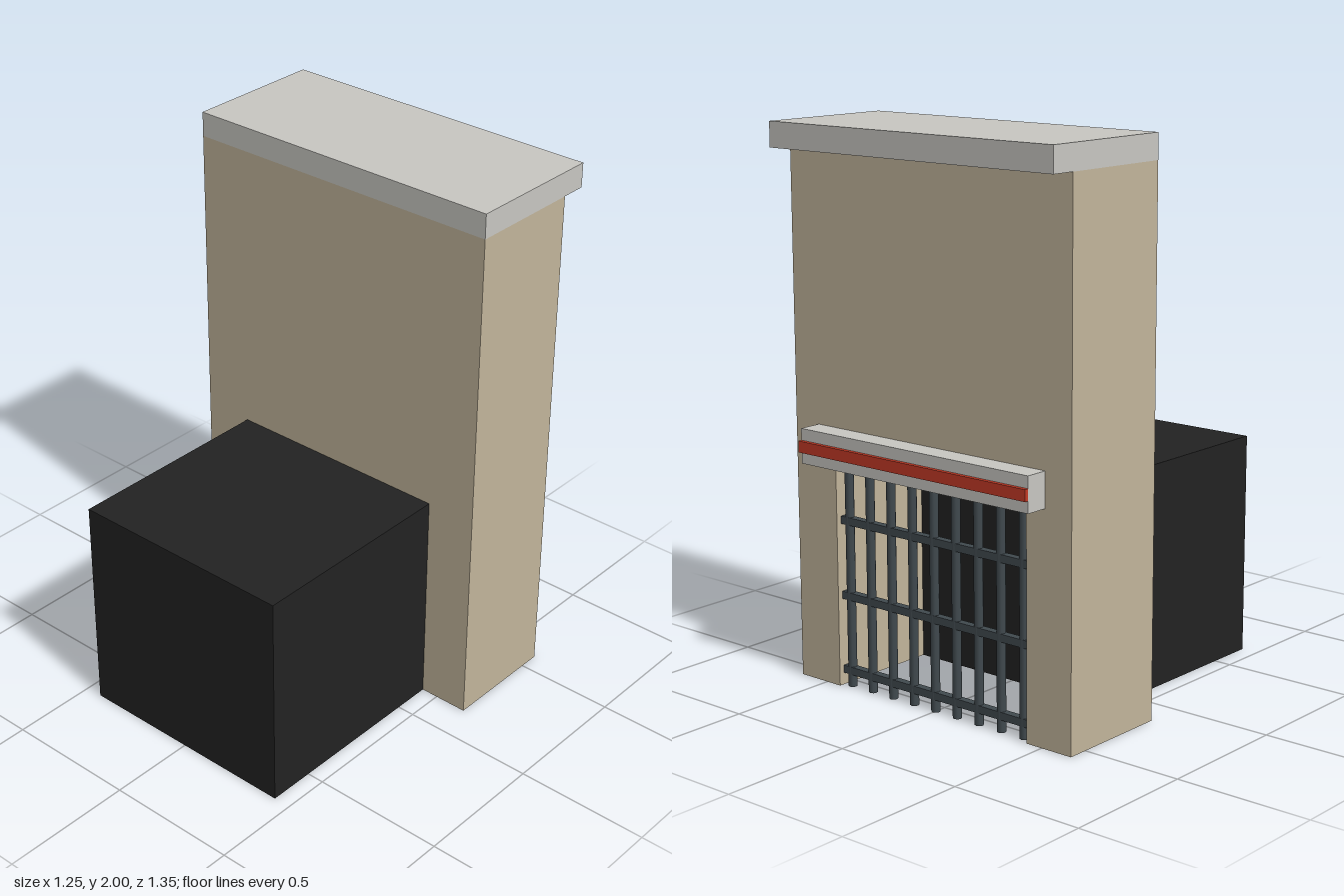
import * as THREE from 'three';

const material = (name, color) => {
  const m = new THREE.MeshStandardMaterial({ color });
  m.name = name;
  return m;
};

export function createModel() {
  const sandstone = material('sandstone', 0xc2b59b);
  const concrete = material('concrete', 0xc8c7c2);
  const black = material('tunnel black', 0x222222);
  const steel = material('dark steel', 0x414a4f);
  const red = material('warning red', 0xc43a26);

  const model = new THREE.Group();
  model.name = 'gatehouse';

  const add = (name, geometry, mat, parent = model) => {
    const mesh = new THREE.Mesh(geometry, mat);
    mesh.name = name;
    parent.add(mesh);
    return mesh;
  };
  // Box given by its minimum and maximum corners
  const box = (name, [x0, y0, z0], [x1, y1, z1], mat, parent) => {
    const g = new THREE.BoxGeometry(x1 - x0, y1 - y0, z1 - z0);
    g.translate((x0 + x1) / 2, (y0 + y1) / 2, (z0 + z1) / 2);
    return add(name, g, mat, parent);
  };

  const back = -0.575, front = -0.14;
  const halfWall = 0.625, halfDoor = 0.435, doorTop = 0.82, wallTop = 1.91;

  // Wall with a doorway cut from the ground up
  const outline = new THREE.Shape([
    [-halfWall, 0], [-halfDoor, 0], [-halfDoor, doorTop], [halfDoor, doorTop],
    [halfDoor, 0], [halfWall, 0], [halfWall, wallTop], [-halfWall, wallTop],
  ].map(([x, y]) => new THREE.Vector2(x, y)));
  const wall = new THREE.ExtrudeGeometry(outline, { depth: front - back, bevelEnabled: false });
  wall.translate(0, 0, back);
  add('wall', wall, sandstone);

  // Coping slab overhanging at the back
  box('coping', [-halfWall, wallTop, -0.67], [halfWall, 2, front], concrete);

  // Dark tunnel block behind the doorway
  box('tunnel', [-halfDoor, 0, front], [halfDoor, doorTop, 0.675], black);

  // Lintel over the doorway and its red strip
  box('lintel', [-0.515, doorTop, -0.66], [0.515, 0.945, back], concrete);
  box('lintelStripe', [-0.515, 0.862, -0.675], [0.515, 0.903, -0.66], red);

  // Barred gate: nine uprights and three rails
  const gate = new THREE.Group();
  gate.name = 'gate';
  model.add(gate);
  const gateZ = -0.545, barHeight = 0.815;
  for (let i = 0; i < 9; i++) {
    const bar = new THREE.CylinderGeometry(0.016, 0.016, barHeight, 8);
    bar.translate(-0.4 + i * 0.1, barHeight / 2, gateZ);
    add('gateBar', bar, steel, gate);
  }
  for (const y of [0.06, 0.335, 0.61]) {
    box('gateRail', [-0.43, y - 0.014, gateZ - 0.014], [0.43, y + 0.014, gateZ + 0.014], steel, gate);
  }

  return model;
}
